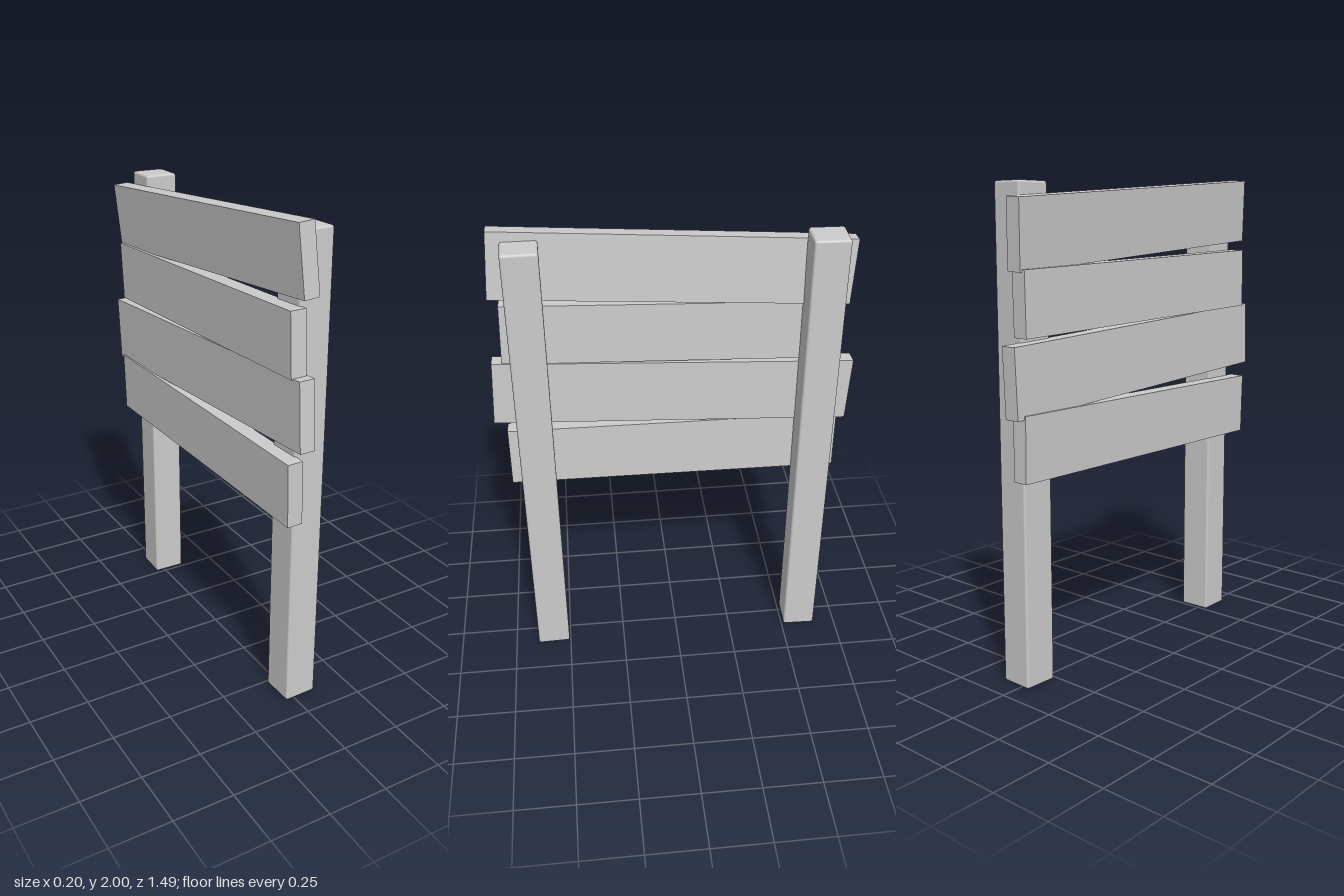
import * as THREE from 'three';
import { RoundedBoxGeometry } from 'three/addons/geometries/RoundedBoxGeometry.js';

export function createModel() {
  const model = new THREE.Group();
  model.name = 'plankSign';
  const wood = new THREE.MeshStandardMaterial({ color: 0xcccccc });

  // Two upright posts with softened edges, each twisted very slightly
  for (const [name, z, twist] of [['frontPost', 0.578, 0.03], ['backPost', -0.582, -0.025]]) {
    const post = new THREE.Mesh(new RoundedBoxGeometry(0.139, 1.955, 0.142, 2, 0.01), wood);
    post.name = name;
    post.position.set(0.029, 0.9825, z);
    post.rotation.y = twist;
    model.add(post);
  }

  // Crooked planks nailed to the posts: height, offset, size, then slope, yaw and lean
  const planks = [
    { name: 'topPlank', x: -0.053, y: 1.816, h: 0.268, l: 1.421, rot: [-0.072, 0.0125, 0.075] },
    { name: 'upperPlank', x: -0.061, y: 1.540, h: 0.252, l: 1.370, rot: [-0.036, 0, 0.02] },
    { name: 'lowerPlank', x: -0.055, y: 1.268, h: 0.275, l: 1.476, rot: [-0.054, 0.008, 0.012] },
    { name: 'bottomPlank', x: -0.062, y: 0.980, h: 0.260, l: 1.392, rot: [-0.003, 0, 0.022] },
  ];
  for (const { name, x, y, h, l, rot } of planks) {
    const plank = new THREE.Mesh(new THREE.BoxGeometry(0.065, h, l), wood);
    plank.name = name;
    plank.position.set(x, y, 0);
    plank.rotation.set(...rot);
    model.add(plank);
  }
  return model;
}
